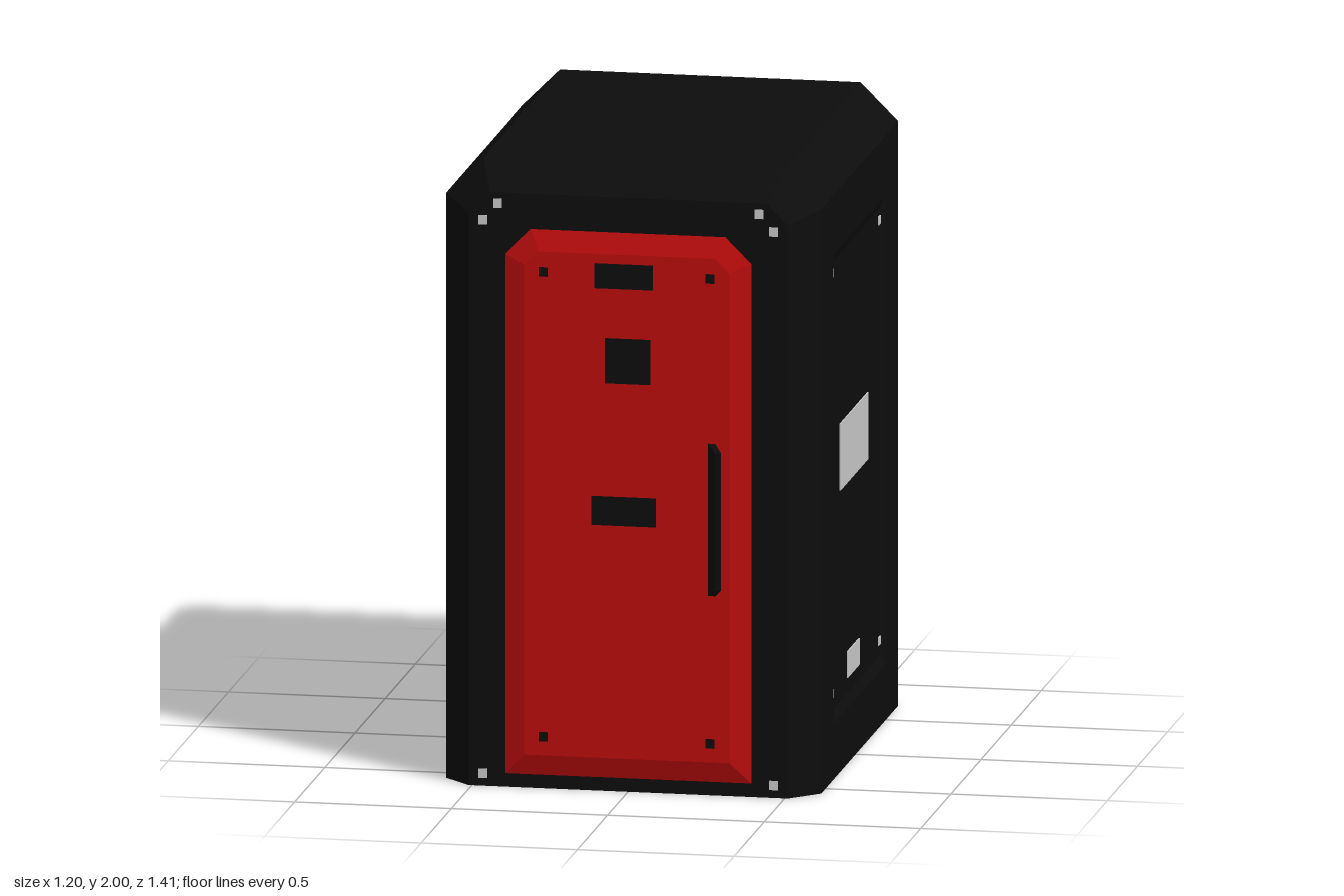
import * as THREE from 'three';

const black = new THREE.MeshStandardMaterial({ color: 0x0d0d0d });
const red = new THREE.MeshStandardMaterial({ color: 0xc00d0d });
const grey = new THREE.MeshStandardMaterial({ color: 0xcccccc });

// Flat-faced skin through loops of corners (counter-clockwise seen from the last loop)
function loft(loops, { capStart = false, skip = () => false } = {}) {
  const out = [];
  const face = (pts) => {
    for (let i = 1; i < pts.length - 1; i++) out.push(...pts[0], ...pts[i], ...pts[i + 1]);
  };
  for (let k = 0; k < loops.length - 1; k++) {
    const a = loops[k], b = loops[k + 1], n = a.length;
    for (let i = 0; i < n; i++) {
      const j = (i + 1) % n;
      if (!skip(k, i)) face([a[i], a[j], b[j], b[i]]);
    }
  }
  if (capStart) face([...loops[0]].reverse());
  face(loops[loops.length - 1]);
  const geo = new THREE.BufferGeometry();
  geo.setAttribute('position', new THREE.Float32BufferAttribute(out, 3));
  geo.computeVertexNormals();
  return geo;
}

// Rectangle in x/y with its two top corners cut off
const cutRect = (w, y0, y1, cut, z) => [
  [-w, y0, z], [w, y0, z], [w, y1 - cut, z], [w - cut, y1, z], [-w + cut, y1, z], [-w, y1 - cut, z],
];

// Rectangle in z/y on the side s (+1 left, -1 right)
function sideRect(s, x, z0, z1, y0, y1) {
  const pts = [[s * x, y0, z1], [s * x, y0, z0], [s * x, y1, z0], [s * x, y1, z1]];
  return s > 0 ? pts : pts.reverse();
}

export function createModel() {
  const model = new THREE.Group();
  const add = (name, geo, mat, x = 0, y = 0, z = 0) => {
    const mesh = new THREE.Mesh(geo, mat);
    mesh.name = name;
    mesh.position.set(x, y, z);
    model.add(mesh);
  };

  // Cabinet shell with bevelled front; side walls are added separately
  add('cabinetShell', loft([
    cutRect(0.6, 0, 2, 0.12, -0.705),
    cutRect(0.6, 0, 2, 0.12, 0.57),
    cutRect(0.51, 0, 1.91, 0.067, 0.66),
  ], { capStart: true, skip: (k, i) => k === 0 && (i === 1 || i === 5) }), black);

  // Side walls with a shallow recessed panel, labels and bolts
  for (const s of [1, -1]) {
    add('sideWall', loft([
      sideRect(s, 0.6, -0.705, 0.57, 0, 1.88),
      sideRect(s, 0.6, -0.5, 0.37, 0.18, 1.69),
      sideRect(s, 0.585, -0.48, 0.35, 0.21, 1.65),
    ]), black);
    const x = s * 0.586;
    add('sideLabel', new THREE.BoxGeometry(0.006, 0.215, 0.46), grey, x, 0.997, -0.04);
    add('sideLowerLabel', new THREE.BoxGeometry(0.006, 0.085, 0.195), grey, x, 0.303, -0.027);
    for (const y of [0.263, 1.615])
      for (const z of [0.32, -0.46])
        add('sideBolt', new THREE.BoxGeometry(0.006, 0.027, 0.03), grey, x, y, z);
  }

  // Raised door with sloping rim
  add('door', loft([
    cutRect(0.397, 0.04, 1.8, 0.085, 0.659),
    cutRect(0.327, 0.11, 1.73, 0.045, 0.68),
  ]), red);

  // Dark plates on the door: x, y, width, height
  for (const [x, y, w, h] of [[-0.01, 1.66, 0.185, 0.08], [0.002, 1.388, 0.145, 0.145], [-0.01, 0.905, 0.205, 0.093]])
    add('doorPlate', new THREE.BoxGeometry(w, h, 0.004), black, x, y, 0.68);

  // Door bolts and front frame bolts
  const bolt = new THREE.BoxGeometry(0.028, 0.03, 0.004);
  for (const s of [1, -1]) {
    for (const y of [0.17, 1.665]) add('doorBolt', bolt, black, s * 0.266, y, 0.68);
    for (const [x, y] of [[0.465, 1.82], [0.418, 1.875], [0.465, 0.04]])
      add('frameBolt', bolt, grey, s * x, y, 0.66);
  }

  // Slanted blade handle with tapered ends
  const bar = (x0, x1, y0, y1, z) => [[x0, y0, z], [x1, y0, z], [x1, y1, z], [x0, y1, z]];
  add('handle', loft([
    bar(0.253, 0.278, 0.64, 1.14, 0.675),
    bar(0.286, 0.306, 0.67, 1.11, 0.705),
  ], { capStart: true }), black);

  return model;
}
